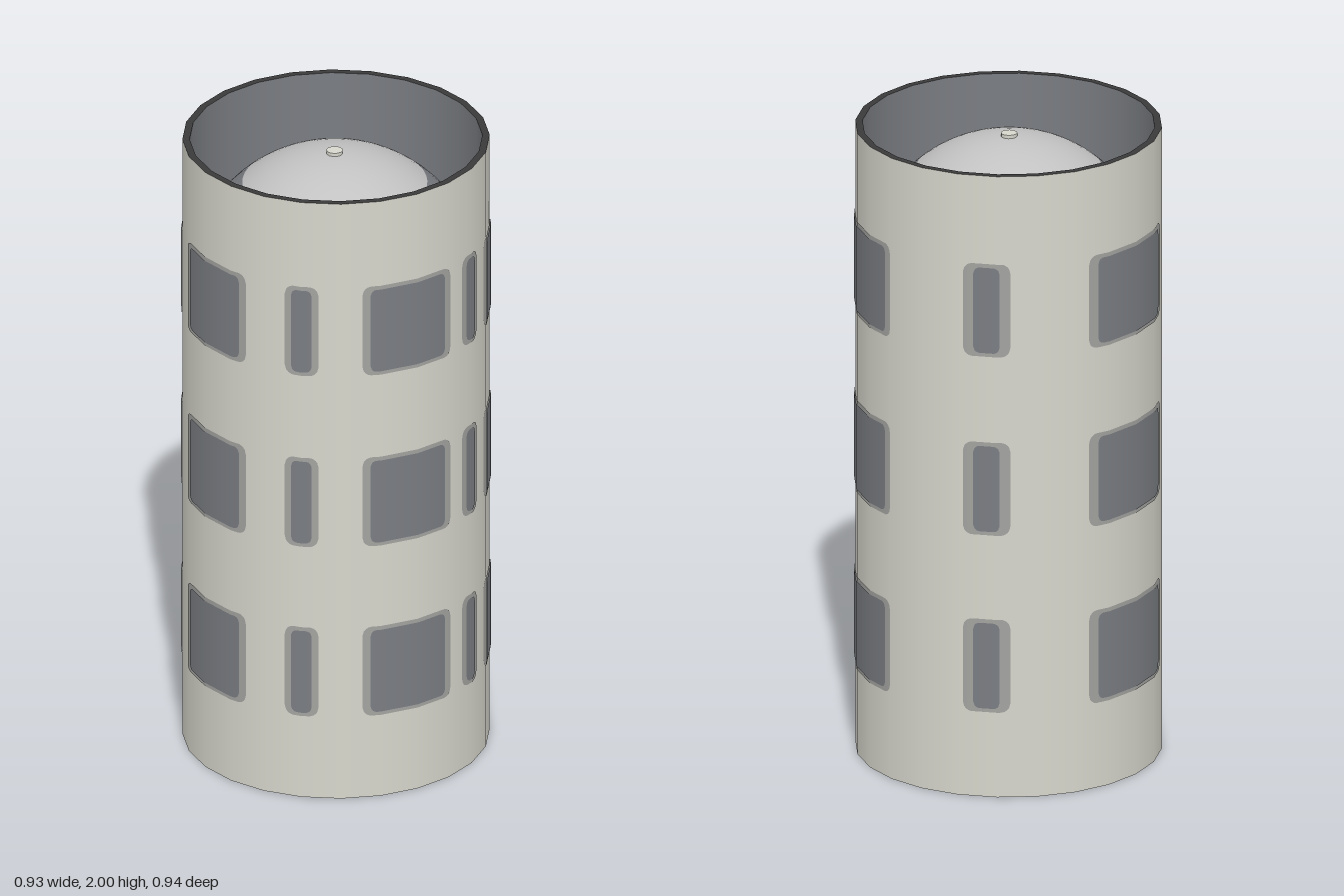
import * as THREE from 'three';

const R = 0.465, RI = 0.443, SIDES = 24, H = 2;

// radius of the 24-sided hull at a given angle (degrees, 0 = front)
function hullRadius(deg) {
  const step = 360 / SIDES;
  const off = ((deg % step) + step) % step - step / 2;
  return R * Math.cos(Math.PI / SIDES) / Math.cos(off * Math.PI / 180);
}

// thin rounded plate wrapped on the hull between two angles and two heights
function wrappedPlate(a0, a1, y0, y1, lift, corner) {
  const n = Math.round((a1 - a0) * 2);
  const geo = new THREE.PlaneGeometry(1, 1, n, 1);
  const pos = geo.attributes.position, nor = geo.attributes.normal;
  for (let i = 0; i < pos.count; i++) {
    const deg = a0 + (pos.getX(i) + 0.5) * (a1 - a0);
    const top = pos.getY(i) > 0;
    const gap = Math.max(0, Math.min(deg - a0, a1 - deg)) * Math.PI / 180 * R;
    const k = Math.max(0, corner - gap);
    const inset = corner - Math.sqrt(Math.max(0, corner * corner - k * k));
    const a = deg * Math.PI / 180, r = hullRadius(deg) + lift;
    pos.setXYZ(i, Math.sin(a) * r, top ? y1 - inset : y0 + inset, Math.cos(a) * r);
    nor.setXYZ(i, Math.sin(a), 0, Math.cos(a));
  }
  return geo;
}

export function createModel() {
  const mat = (name, color, side = THREE.FrontSide) => {
    const m = new THREE.MeshStandardMaterial({ color, side });
    m.name = name;
    return m;
  };
  const hullMat = mat('hull off-white', 0xd8d7cd);
  const frameMat = mat('frame grey', 0xa3a3a0);
  const darkMat = mat('slate grey', 0x7a7d82, THREE.DoubleSide);
  const capMat = mat('dome light grey', 0xc2c2c2);
  const rimMat = mat('rim charcoal', 0x3a3a3a);

  const model = new THREE.Group();
  const add = (name, geo, material, parent = model) => {
    const mesh = new THREE.Mesh(geo, material);
    mesh.name = name;
    parent.add(mesh);
    return mesh;
  };
  const V = (x, y) => new THREE.Vector2(x, y);

  // hull tube with inner wall and flat rims
  add('hull', new THREE.CylinderGeometry(R, R, H, SIDES, 1, true), hullMat).position.y = H / 2;
  add('innerWall', new THREE.LatheGeometry([V(RI, H), V(RI, 0)], SIDES), darkMat);
  for (const top of [true, false]) {
    const rim = add(top ? 'topRim' : 'bottomRim', new THREE.RingGeometry(RI, R, SIDES), rimMat);
    rim.rotation.x = top ? -Math.PI / 2 : Math.PI / 2;
    rim.position.y = top ? H : 0;
  }

  // upper dome: dark shoulder, pale cap, crown slightly forward of centre
  const domeY = 1.51, domeR = 0.445, capEdge = Math.acos(0.28 / domeR);
  const domePart = (t0, t1, steps) => {
    const pts = [];
    for (let i = 0; i <= steps; i++) {
      const t = t0 + (t1 - t0) * i / steps;
      pts.push(V(Math.max(0, Math.cos(t) * domeR), domeY + Math.sin(t) * domeR));
    }
    const geo = new THREE.LatheGeometry(pts, 48);
    const p = geo.attributes.position;
    for (let i = 0; i < p.count; i++) {
      const r = Math.hypot(p.getX(i), p.getZ(i)) / domeR;
      p.setZ(i, p.getZ(i) + 0.018 * (1 - r ** 4));
    }
    return geo;
  };
  add('domeShoulder', domePart(0, capEdge, 10), darkMat);
  add('domeCap', domePart(capEdge, Math.PI / 2, 10), capMat);
  add('domeFitting', new THREE.CylinderGeometry(0.025, 0.025, 0.02, 12), hullMat)
    .position.set(0, domeY + domeR, 0.018);

  // lower cone narrowing down to a blunt tip
  add('lowerCone', new THREE.LatheGeometry([V(0.055, 0.03), V(RI, 0.48)], 48), darkMat);
  add('coneTip', new THREE.CylinderGeometry(0.055, 0.04, 0.025, 24), darkMat).position.y = 0.025;

  // three decks of wrapped windows: [start angle, end angle, frame margin]
  const windows = [
    [-58, -26, 3], [-4, 4, 2.5], [26, 58, 3], [71, 77, 2.5],
    [90, 131, 3], [171, 181, 4], [220, 261, 4], [278, 285, 3],
  ];
  [0.285, 0.855, 1.43].forEach((y, row) => {
    const deck = new THREE.Group();
    deck.name = 'windowDeck' + (row + 1);
    model.add(deck);
    for (const [a0, a1, m] of windows) {
      add('windowFrame', wrappedPlate(a0 - m, a1 + m, y - 0.012, y + 0.287, 0.002, 0.03), frameMat, deck);
      add('windowPane', wrappedPlate(a0, a1, y, y + 0.275, 0.004, 0.02), darkMat, deck);
    }
  });
  return model;
}
